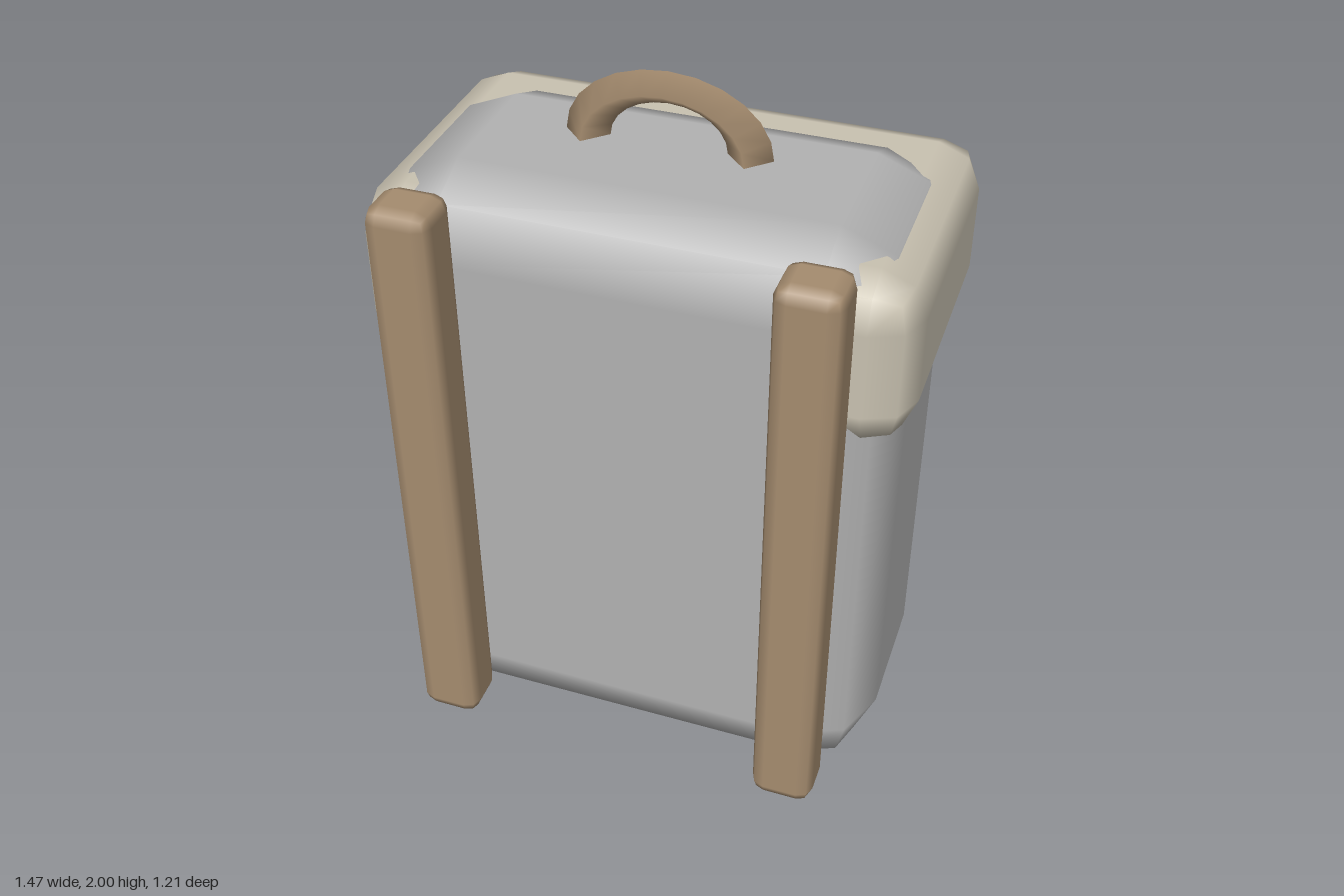
import * as THREE from 'three';
import { RoundedBoxGeometry } from 'three/addons/geometries/RoundedBoxGeometry.js';

function material(name, color, side = THREE.FrontSide) {
  const m = new THREE.MeshStandardMaterial({ color, side });
  m.name = name;
  return m;
}

export function createModel() {
  const pack = new THREE.Group();
  pack.name = 'backpack';

  const canvas = material('grey canvas', 0xb2b2b2);
  const flapCloth = material('beige cloth', 0xc9c2b1);
  const leather = material('brown leather', 0xa58c6f, THREE.DoubleSide);
  const brass = material('brass', 0xbfa86f);

  // Bevelled box given by its extents on each axis
  function box(name, mat, [x0, x1], [y0, y1], [z0, z1], radius) {
    const geometry = new RoundedBoxGeometry(x1 - x0, y1 - y0, z1 - z0, 1, radius);
    const mesh = new THREE.Mesh(geometry, mat);
    mesh.position.set((x0 + x1) / 2, (y0 + y1) / 2, (z0 + z1) / 2);
    mesh.name = name;
    pack.add(mesh);
  }

  // Main bag, wrapped by the lid band, with a pocket on the back
  box('body', canvas, [-0.696, 0.696], [0, 1.77], [-0.312, 0.453], 0.2);
  box('flap', flapCloth, [-0.735, 0.735], [1.235, 1.715], [-0.44, 0.44], 0.12);
  box('pocket', canvas, [-0.456, 0.452], [0.22, 0.912], [-0.572, -0.2], 0.06);

  // Straps and buckles on both sides
  for (const [side, s] of [['left', 1], ['right', -1]]) {
    const span = (centre, width) => [s * centre - width / 2, s * centre + width / 2];
    box(side + 'ShoulderStrap', leather, span(0.508, 0.174), [0.085, 1.795], [0.446, 0.604], 0.04);
    box(side + 'PocketStrap', leather, span(0.356, 0.137), [0.85, 1.53], [-0.543, -0.441], 0.025);
    box(side + 'Buckle', brass, span(0.356, 0.196), [0.775, 0.92], [-0.604, -0.54], 0.02);
  }

  // Carrying handle: a flattened half ring with a diamond section
  const handle = new THREE.Mesh(new THREE.TorusGeometry(0.216, 0.06, 4, 12, Math.PI), leather);
  handle.name = 'handle';
  handle.scale.y = 0.725;
  handle.position.set(0, 1.8, 0.068);
  pack.add(handle);

  return pack;
}
